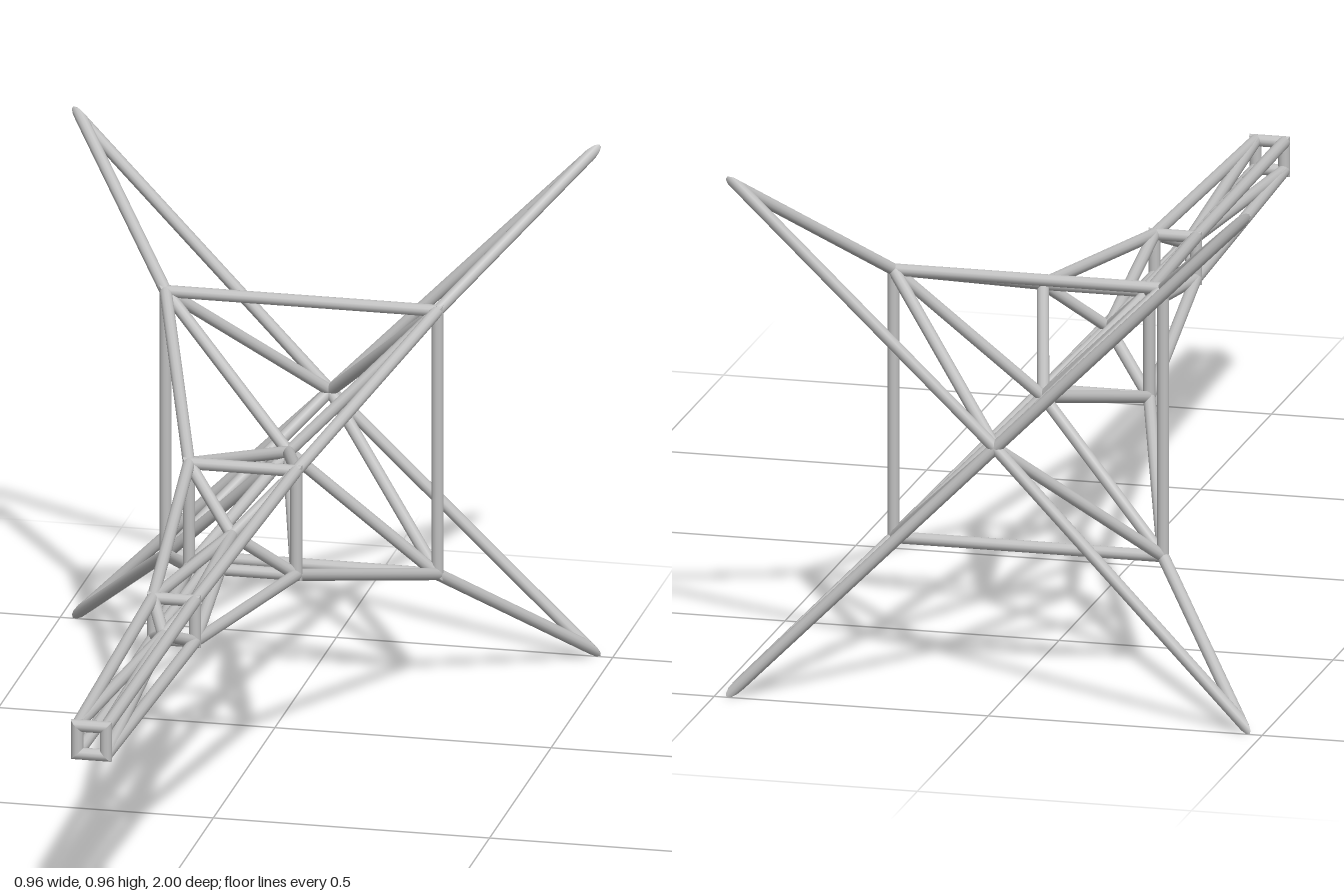
import * as THREE from 'three';

export function createModel() {
  const model = new THREE.Group();
  model.name = 'latticeTower';
  const steel = new THREE.MeshStandardMaterial({ color: 0xc0c0c0 });
  steel.name = 'light grey steel';

  const axisY = 0.4775;
  const radius = 0.011;
  const up = new THREE.Vector3(0, 1, 0);
  const direction = (a, b) => b.clone().sub(a).normalize();

  // One round rod between two points, its ends cut along planes with the given normals
  function rod(name, a, b, normalA, normalB) {
    const dir = direction(a, b);
    const turn = new THREE.Quaternion().setFromUnitVectors(up, dir);
    const back = turn.clone().invert();
    const cutA = normalA.clone().applyQuaternion(back);
    const cutB = normalB.clone().applyQuaternion(back);
    const geometry = new THREE.CylinderGeometry(radius, radius, a.distanceTo(b), 12);
    const p = geometry.attributes.position;
    for (let i = 0; i < p.count; i++) {
      const n = p.getY(i) < 0 ? cutA : cutB;
      p.setY(i, p.getY(i) - (n.x * p.getX(i) + n.z * p.getZ(i)) / n.y);
    }
    const mesh = new THREE.Mesh(geometry, steel);
    mesh.name = name;
    mesh.position.copy(a).add(b).multiplyScalar(0.5);
    mesh.quaternion.copy(turn);
    model.add(mesh);
  }

  // A chain of rods with mitred joints
  function chain(name, points, closed) {
    const n = points.length;
    const segments = closed ? n : n - 1;
    const dirs = points.slice(0, segments).map((p, i) => direction(p, points[(i + 1) % n]));
    const dirAt = (i) => dirs[closed ? (i + n) % n : Math.min(Math.max(i, 0), segments - 1)];
    const normalAt = (i) => dirAt(i - 1).clone().add(dirAt(i)).normalize();
    for (let i = 0; i < segments; i++) {
      rod(name, points[i], points[(i + 1) % n], normalAt(i), normalAt(i + 1));
    }
  }

  // Square sections from the narrow top (front) to the splayed feet (back): [z, half width]
  const levels = [[0.989, 0.026], [0.32, 0.038], [-0.238, 0.097], [-0.717, 0.246], [-0.988, 0.456]];
  const signs = [[1, 1], [-1, 1], [-1, -1], [1, -1]];
  const corners = levels.map(([z, h]) =>
    signs.map(([sx, sy]) => new THREE.Vector3(sx * h, axisY + sy * h, z)));

  // Brace node on the axis within each stage
  const nodes = [0.405, -0.15, -0.61, -0.95].map((z) => new THREE.Vector3(0, axisY, z));

  // Square frames; the feet stay free
  corners.slice(0, 4).forEach((c) => chain('squareFrame', c, true));

  for (let i = 0; i < 4; i++) {
    // Leg along the corners, turning back at the pointed foot to the last node
    chain('leg', [...corners.map((c) => c[i]), nodes[3]], false);
    // Braces from the frames to the nodes
    nodes.forEach((node, s) => {
      chain('innerBrace', [corners[s][i], node], false);
      if (s < 3) chain('innerBrace', [corners[s + 1][i], node], false);
    });
  }

  return model;
}
